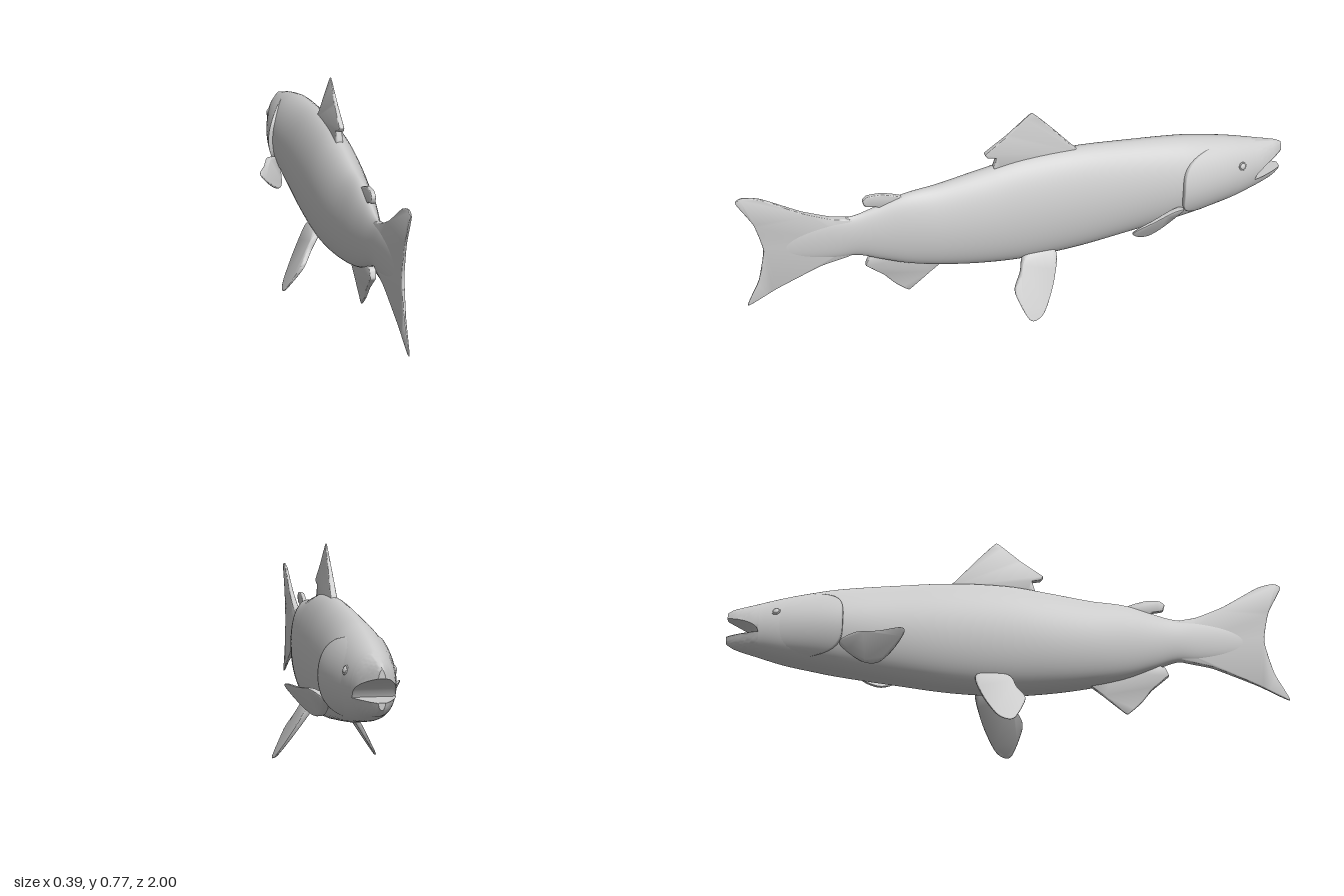
import * as THREE from 'three';
import { toCreasedNormals } from 'three/addons/utils/BufferGeometryUtils.js';

const material = new THREE.MeshStandardMaterial({ color: 0xcccccc, side: THREE.DoubleSide });
const SEG = 64;

// Body stations: z, belly y, back y, half width
const stations = [
  [-1.0, 0.352, 0.474, 0.014], [-0.98, 0.338, 0.486, 0.028], [-0.95, 0.326, 0.494, 0.044],
  [-0.9, 0.312, 0.506, 0.064], [-0.8, 0.282, 0.532, 0.087], [-0.7, 0.26, 0.553, 0.1],
  [-0.6, 0.24, 0.57, 0.106], [-0.4, 0.208, 0.588, 0.105], [-0.2, 0.18, 0.6, 0.104],
  [0.0, 0.17, 0.592, 0.1], [0.15, 0.18, 0.566, 0.092], [0.3, 0.202, 0.537, 0.076],
  [0.42, 0.23, 0.522, 0.058], [0.52, 0.268, 0.49, 0.04], [0.6, 0.3, 0.467, 0.027],
  [0.68, 0.303, 0.465, 0.02], [0.78, 0.32, 0.45, 0.012], [0.88, 0.35, 0.42, 0.004],
];

// Smooth interpolation of one station column at z
function profile(z, k) {
  let i = 0;
  while (i < stations.length - 2 && z > stations[i + 1][0]) i++;
  const at = n => stations[Math.min(Math.max(n, 0), stations.length - 1)];
  const slope = n => (at(n + 1)[k] - at(n - 1)[k]) / (at(n + 1)[0] - at(n - 1)[0]);
  const h = at(i + 1)[0] - at(i)[0];
  const s = (z - at(i)[0]) / h, s2 = s * s, s3 = s2 * s;
  return (2 * s3 - 3 * s2 + 1) * at(i)[k] + (s3 - 2 * s2 + s) * h * slope(i)
    + (3 * s2 - 2 * s3) * at(i + 1)[k] + (s3 - s2) * h * slope(i + 1);
}

// Point on the body skin: narrow back, fuller belly
function skin(z, t) {
  const low = profile(z, 1), high = profile(z, 2), mid = low + (high - low) * 0.47;
  const c = Math.cos(t), s = Math.sin(t);
  const x = Math.sign(c) * Math.pow(Math.abs(c), s > 0 ? 1.15 : 0.8) * profile(z, 3);
  return [x, mid + s * (s > 0 ? high - mid : mid - low), z];
}

// Closed-ring loft; pointAt(u, t) with u running towards the tail
function loft(rows, pointAt) {
  const positions = [], index = [];
  for (let i = 0; i <= rows; i++) {
    for (let j = 0; j < SEG; j++) {
      positions.push(...pointAt(i / rows, (j / SEG) * Math.PI * 2));
      if (i === rows) continue;
      const a = i * SEG + j, b = i * SEG + (j + 1) % SEG;
      index.push(a, b, a + SEG, b, b + SEG, a + SEG);
    }
  }
  const geometry = new THREE.BufferGeometry();
  geometry.setAttribute('position', new THREE.Float32BufferAttribute(positions, 3));
  geometry.setIndex(index);
  geometry.computeVertexNormals();
  return geometry;
}

// Thin fin from a side outline of [z, y] points; thickness and sideways lean are rules of (z, y)
function fin(outline, thickness, lean = () => 0, tension = 0.25) {
  const curve = new THREE.CatmullRomCurve3(
    outline.map(([z, y]) => new THREE.Vector3(-z, y, 0)), true, 'catmullrom', tension);
  const points = curve.getPoints(outline.length * 6).slice(0, -1);
  const shape = new THREE.Shape(points.map(p => new THREE.Vector2(p.x, p.y)));
  const geometry = new THREE.ExtrudeGeometry(shape, {
    depth: 0.5, bevelEnabled: true, bevelThickness: 0.25, bevelSize: 0.004, bevelOffset: -0.004, bevelSegments: 2,
  });
  geometry.translate(0, 0, -0.25).rotateY(Math.PI / 2);
  const p = geometry.attributes.position;
  for (let i = 0; i < p.count; i++) {
    const y = p.getY(i), z = p.getZ(i);
    p.setX(i, p.getX(i) * thickness(z, y) + lean(z, y));
  }
  return toCreasedNormals(geometry, 0.9);
}

export function createModel() {
  const model = new THREE.Group();
  const add = (name, geometry) => {
    const mesh = new THREE.Mesh(geometry, material);
    mesh.name = name;
    model.add(mesh);
    return mesh;
  };
  const lerp = THREE.MathUtils.lerp;

  // Trunk from the corner of the mouth to the tail root
  const mouthZ = -0.88;
  add('body', loft(90, (u, t) => skin(lerp(mouthZ, 0.88, u), t)));

  // Jaws: the same skin cut by the lines of the open mouth, closed at the tip
  const jaw = (limit, mouthY) => toCreasedNormals(loft(16, (u, t) => {
    const z = lerp(-1, mouthZ, Math.max(0, (u * 16 - 1) / 15));
    const edge = lerp(0.372, mouthY, Math.sqrt((mouthZ - z) / (mouthZ + 1)));
    const [x, y] = skin(z, t);
    const cut = limit(y, edge);
    return u === 0 ? [0, lerp(mouthY, cut, 0.5), z] : [x, cut, z];
  }), 0.8);
  add('upperJaw', jaw(Math.max, 0.446));
  add('lowerJaw', jaw(Math.min, 0.374));

  // Gill covers: a raised layer over the cheeks with a curved rear edge
  add('gillCovers', loft(20, (u, t) => {
    const edge = -0.58 - 0.2 * Math.pow(Math.sin(t), 4);
    const k = Math.min(1, u / 0.92);
    const [x, y, z] = skin(lerp(-0.86, edge, k), t);
    const lift = u === 1 ? -0.008 : -0.004 + 0.02 * k;
    const c = Math.cos(t);
    return [x + c * Math.abs(c) * lift, y - 0.004 * Math.sin(t), z];
  }));

  // Unpaired fins on the midline
  add('tailFin', fin([
    [0.6, 0.45], [0.68, 0.475], [0.78, 0.52], [0.91, 0.6], [0.97, 0.617], [0.996, 0.6],
    [0.945, 0.5], [0.922, 0.385], [0.95, 0.26], [0.998, 0.158], [0.89, 0.212],
    [0.73, 0.28], [0.6, 0.315],
  ], z => lerp(0.026, 0.006, (z - 0.6) / 0.4)));
  add('dorsalFin', fin([
    [-0.22, 0.58], [-0.19, 0.61], [-0.12, 0.69], [-0.04, 0.772], [0.05, 0.695], [0.13, 0.635],
    [0.12, 0.618], [0.09, 0.612], [0.1, 0.57], [0, 0.55],
  ], (z, y) => lerp(0.026, 0.006, (y - 0.57) / 0.2), undefined, 0.1));
  add('adiposeFin', fin([
    [0.4, 0.5], [0.45, 0.525], [0.5, 0.54], [0.55, 0.54], [0.568, 0.525], [0.56, 0.5],
    [0.52, 0.492], [0.5, 0.47],
  ], () => 0.016));
  add('analFin', fin([
    [0.28, 0.22], [0.34, 0.165], [0.42, 0.098], [0.47, 0.14], [0.51, 0.19], [0.572, 0.245],
    [0.56, 0.275], [0.48, 0.3],
  ], (z, y) => lerp(0.006, 0.024, (y - 0.1) / 0.18), undefined, 0.12));

  // Paired fins and eyes
  for (const side of [1, -1]) {
    const prefix = side > 0 ? 'left' : 'right';
    add(prefix + 'PelvicFin', fin([
      [-0.11, 0.215], [-0.092, 0.12], [-0.045, 0.03], [-0.01, 0.003], [0.02, 0.008],
      [0.05, 0.07], [0.057, 0.11], [0.03, 0.155], [0, 0.215],
    ], (z, y) => lerp(0.007, 0.026, y / 0.2), (z, y) => side * (0.07 + (0.2 - y) * 0.59), 0.45));
    add(prefix + 'PectoralFin', fin([
      [-0.59, 0.32], [-0.53, 0.342], [-0.45, 0.335], [-0.375, 0.335], [-0.36, 0.318],
      [-0.4, 0.27], [-0.45, 0.24], [-0.5, 0.247], [-0.55, 0.28],
    ], z => lerp(0.028, 0.008, (z + 0.59) / 0.23),
    (z, y) => side * (0.108 + 0.413 * (z + 0.46) + 0.51 * (y - 0.24)), 0.45));

    // Eyeball within a thin socket ring, turned to follow the cheek
    const [ex, ey, ez] = skin(-0.82, 0.38);
    const eye = new THREE.Group();
    eye.name = prefix + 'Eye';
    const ball = new THREE.Mesh(new THREE.SphereGeometry(0.012, 20, 14), material);
    ball.name = 'eyeball';
    ball.scale.z = 0.6;
    const socket = new THREE.Mesh(new THREE.TorusGeometry(0.013, 0.003, 8, 24), material);
    socket.name = 'eyeSocket';
    eye.add(ball, socket);
    eye.position.set(side * ex, ey, ez);
    eye.lookAt(side * (ex + 1), ey + 0.35, ez - 0.25);
    model.add(eye);
  }
  return model;
}
